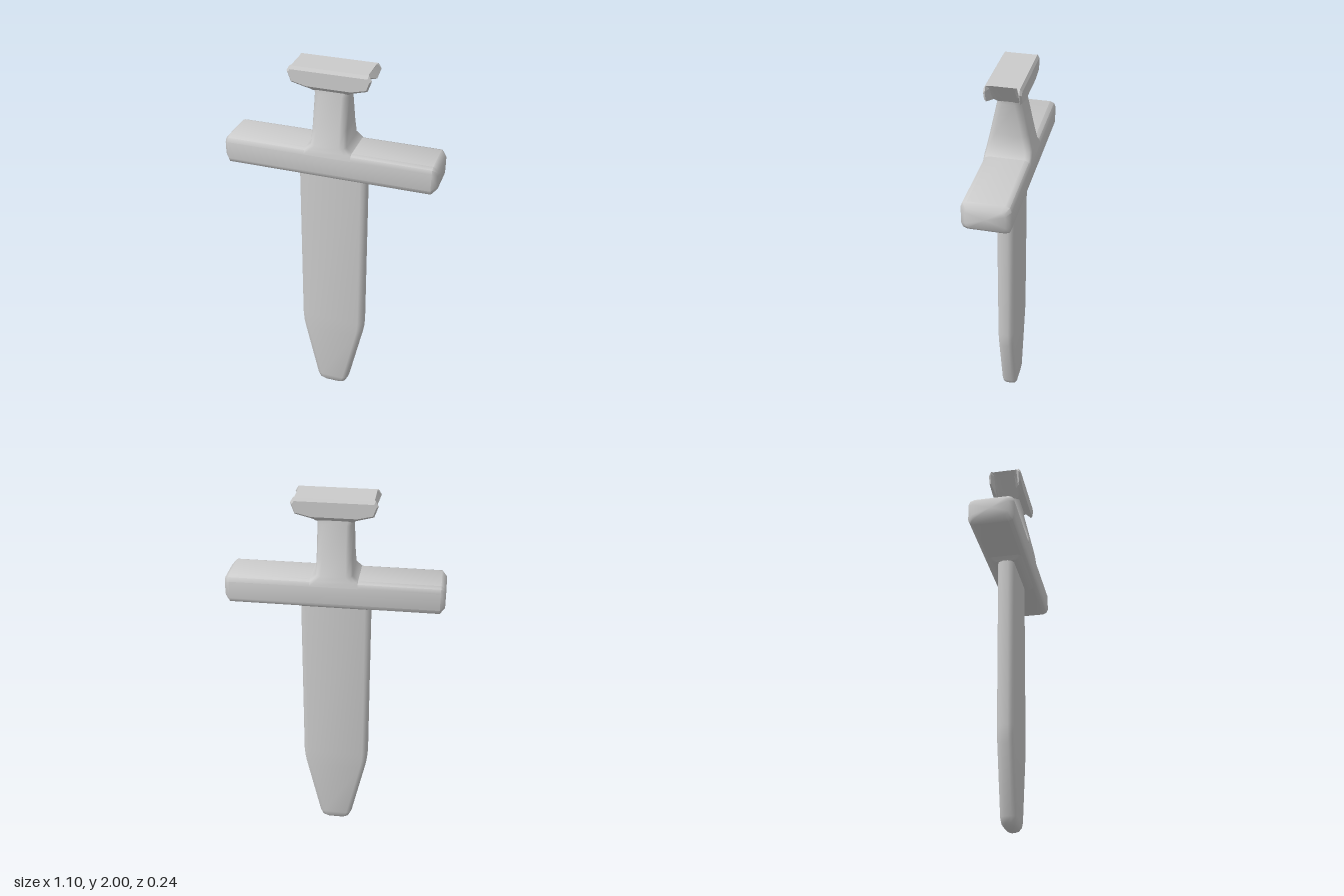
import * as THREE from 'three';
import { toCreasedNormals } from 'three/addons/utils/BufferGeometryUtils.js';

const material = new THREE.MeshStandardMaterial({ color: 0xcccccc });

// Maps section coordinates (u, v) at distance w along an axis, keeping u x v = w
const place = {
  x: (u, v, w) => [w, u, v],
  y: (u, v, w) => [v, w, u],
  z: (u, v, w) => [u, v, w],
};

// Rectangle with rounded corners, counter-clockwise
function roundedRect(hu, hv, r, cu = 0, cv = 0) {
  const points = [];
  [[1, 1], [-1, 1], [-1, -1], [1, -1]].forEach(([su, sv], q) => {
    for (let k = 0; k <= 2; k++) {
      const a = (q + k / 2) * Math.PI / 2;
      points.push([cu + su * (hu - r) + r * Math.cos(a), cv + sv * (hv - r) + r * Math.sin(a)]);
    }
  });
  return points;
}

// Skins a list of { w, points } sections and closes both ends
function loft(name, axis, sections, crease = 0.6) {
  const n = sections[0].points.length;
  const positions = [], index = [];
  for (const { w, points } of sections) {
    for (const [u, v] of points) positions.push(...place[axis](u, v, w));
  }
  for (let s = 0; s < sections.length - 1; s++) {
    for (let i = 0; i < n; i++) {
      const a = s * n + i, b = s * n + (i + 1) % n;
      index.push(a, b, b + n, a, b + n, a + n);
    }
  }
  for (const s of [0, sections.length - 1]) {
    const { w, points } = sections[s];
    const cu = points.reduce((t, p) => t + p[0], 0) / n;
    const cv = points.reduce((t, p) => t + p[1], 0) / n;
    const centre = positions.length / 3;
    positions.push(...place[axis](cu, cv, w));
    for (let i = 0; i < n; i++) {
      const a = s * n + i, b = s * n + (i + 1) % n;
      if (s === 0) index.push(centre, b, a);
      else index.push(centre, a, b);
    }
  }
  const geometry = new THREE.BufferGeometry();
  geometry.setAttribute('position', new THREE.Float32BufferAttribute(positions, 3));
  geometry.setIndex(index);
  const mesh = new THREE.Mesh(toCreasedNormals(geometry, crease), material);
  mesh.name = name;
  return mesh;
}

// Upright part from rows of [y, half width, half depth, corner radius]
const upright = (name, rows, crease) => loft(name, 'y',
  rows.map(([y, hx, hz, r]) => ({ w: y, points: roundedRect(hz, hx, r) })), crease);

export function createModel() {
  const group = new THREE.Group();
  group.name = 'shortSword';

  // Blade with a blunt, rounded tip
  group.add(upright('blade', [
    [0, 0.035, 0.015, 0.01], [0.01, 0.06, 0.03, 0.02], [0.025, 0.078, 0.04, 0.025],
    [0.055, 0.092, 0.044, 0.028], [0.4, 0.168, 0.044, 0.028], [0.44, 0.175, 0.044, 0.028],
    [0.49, 0.179, 0.044, 0.028], [1.46, 0.179, 0.044, 0.028],
  ], 0.9));

  // Tapered collar between blade and guard
  group.add(upright('collar', [
    [1.42, 0.178, 0.06, 0.02], [1.43, 0.185, 0.08, 0.02], [1.45, 0.21, 0.105, 0.02],
  ]));

  // Crossguard with bevelled ends
  const guard = [[-0.55, 0.025], [-0.525, 0], [0.525, 0], [0.55, 0.025]];
  group.add(loft('crossguard', 'x', guard.map(([x, inset]) => ({
    w: x, points: roundedRect(0.075 - inset, 0.119 - inset, 0.03 - inset * 0.4, 1.514),
  })), 0.9));

  // Grip flaring into the guard
  group.add(upright('grip', [
    [1.56, 0.15, 0.119, 0.03], [1.59, 0.118, 0.118, 0.03], [1.615, 0.092, 0.114, 0.03],
    [1.7, 0.088, 0.095, 0.03], [1.86, 0.087, 0.06, 0.03], [1.89, 0.095, 0.057, 0.03],
  ], 0.9));

  // Pommel: right half of each section is mirrored; the ends are hollowed between two cheeks
  const cheek = [[0.11, 1.91], [0.185, 1.928], [0.2, 1.97], [0.19, 1.985]];
  const rim = [[0.11, 1.9], [0.19, 1.92], [0.21, 1.975], [0.195, 2]];
  const hollow = [[0.1, 1.89], [0.14, 1.925], [0.18, 1.982], [0.19, 2]];
  const core = [[0.09, 1.877], [0.125, 1.92], [0.17, 1.98], [0.19, 2]];
  const pommel = [[-0.09, cheek], [-0.08, rim], [-0.065, hollow], [-0.05, core],
    [0.05, core], [0.065, hollow], [0.08, rim], [0.09, cheek]];
  group.add(loft('pommel', 'z', pommel.map(([z, half]) => ({
    w: z, points: [...half, ...half.map(([x, y]) => [-x, y]).reverse()],
  })), 0.5));

  return group;
}
